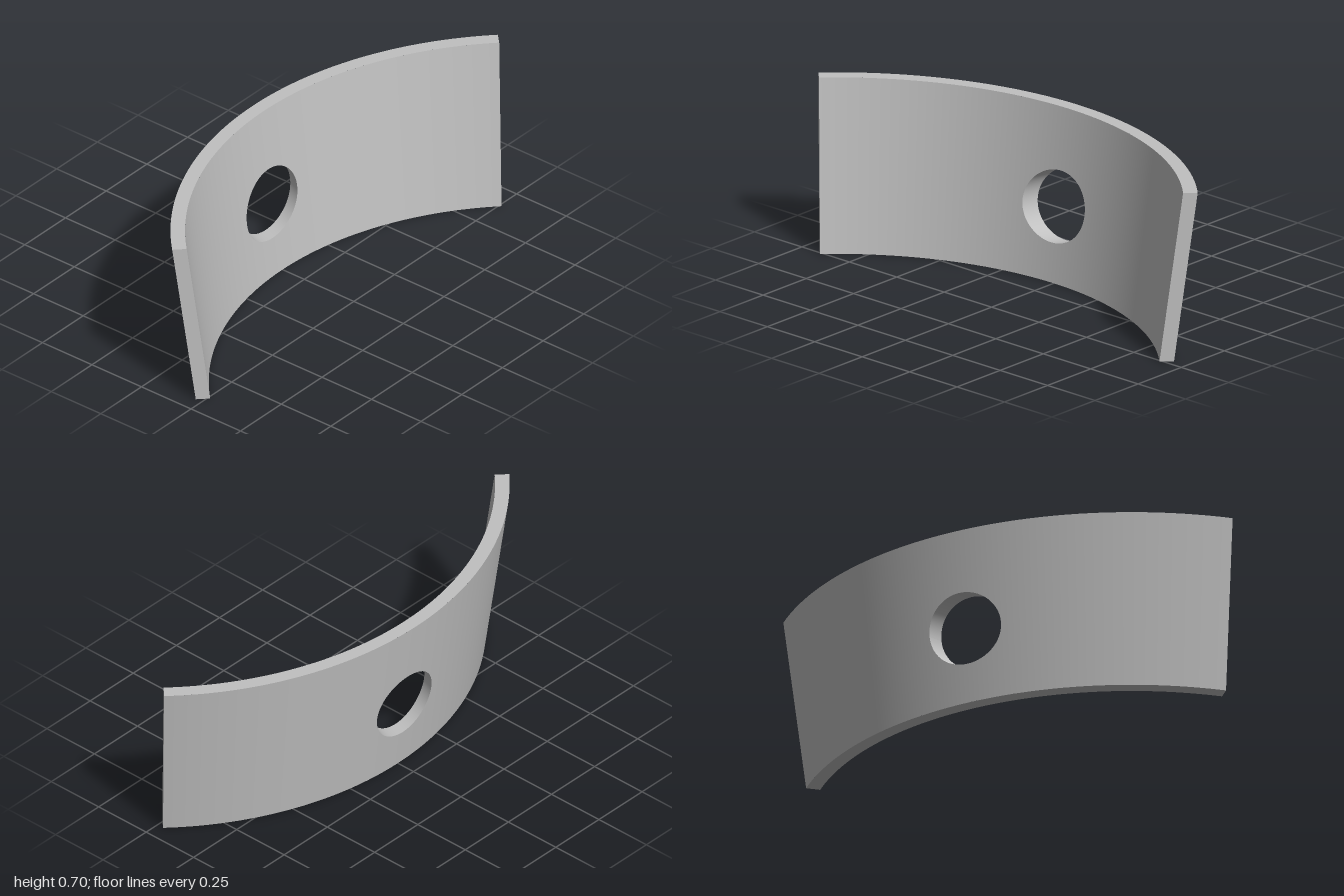
import * as THREE from 'three';
import { mergeGeometries } from 'three/addons/utils/BufferGeometryUtils.js';

const H = 0.7, CZ = 1.155, HALF = Math.PI / 4;     // height, cone axis z, half sweep
const SLOPE = 0.132, THICK = 0.057, PATCH = 0.25;  // flare, wall thickness, half sweep of holed patch
const HOLE_R = 0.146, HOLE_Y = 0.303, TILT = THREE.MathUtils.degToRad(22.5);

const outer = y => 1.322 + SLOPE * y;
const inner = y => outer(y) - THICK;
const at = (r, a, y) => new THREE.Vector3(r * Math.sin(a), y, CZ - r * Math.cos(a));

// Grid of quads over u, v in 0..1, facing along du x dv unless flipped
function grid(nu, nv, f, flip = false) {
  const pos = [], idx = [];
  for (let j = 0; j <= nv; j++) for (let i = 0; i <= nu; i++) pos.push(...f(i / nu, j / nv).toArray());
  for (let j = 0; j < nv; j++) for (let i = 0; i < nu; i++) {
    const a = j * (nu + 1) + i, b = a + 1, d = a + nu + 1, c = d + 1;
    if (flip) idx.push(a, c, b, a, d, c);
    else idx.push(a, b, c, a, c, d);
  }
  const g = new THREE.BufferGeometry();
  g.setAttribute('position', new THREE.Float32BufferAttribute(pos, 3));
  g.setIndex(idx);
  g.computeVertexNormals();
  return g;
}

// Point where the slanted bore meets the inner or outer cone
function rim(radius, phi) {
  const c = Math.cos(phi) * HOLE_R, y = HOLE_Y + Math.sin(phi) * HOLE_R;
  const dx = Math.sin(TILT), dz = -Math.cos(TILT);
  const qx = c * Math.cos(TILT), qz = CZ - outer(HOLE_Y);
  const px = qx, pz = qz + c * Math.sin(TILT) - CZ;
  const b = px * dx + pz * dz, r = radius(y);
  const t = -b + Math.sqrt(b * b - px * px - pz * pz + r * r);
  return new THREE.Vector3(px + t * dx, y, CZ + pz + t * dz);
}

// Curved wall face: holed centre patch plus a plain panel on each side
function wallFace(radius, isOuter) {
  const lerp = THREE.MathUtils.lerp;
  const patch = grid(96, 6, (u, v) => {
    const phi = u * Math.PI * 2, c = Math.cos(phi), s = Math.sin(phi);
    const k = 1 / Math.max(Math.abs(c), Math.abs(s));
    const p = rim(radius, phi);
    const a = lerp(Math.atan2(p.x, CZ - p.z), PATCH * c * k, v);
    const y = lerp(p.y, H / 2 * (1 + s * k), v);
    return at(radius(y), a, y);
  }, !isOuter);
  const panels = [[-HALF, -PATCH], [PATCH, HALF]].map(([a0, a1]) =>
    grid(20, 4, (u, v) => at(radius(v * H), lerp(a0, a1, u), v * H), isOuter));
  const g = mergeGeometries([patch, ...panels]);
  // True cone normals keep the joins between panels invisible
  const P = g.attributes.position, N = g.attributes.normal, n = new THREE.Vector3();
  for (let i = 0; i < P.count; i++) {
    const x = P.getX(i), z = P.getZ(i) - CZ;
    n.set(x, -SLOPE * Math.hypot(x, z), z).normalize().multiplyScalar(isOuter ? 1 : -1);
    N.setXYZ(i, n.x, n.y, n.z);
  }
  return g;
}

export function createModel() {
  const group = new THREE.Group();
  group.name = 'curvedPanel';
  const grey = new THREE.MeshStandardMaterial({ color: 0xc0c0c0 });
  grey.name = 'grey';
  const add = (name, geometry) => {
    const mesh = new THREE.Mesh(geometry, grey);
    mesh.name = name;
    group.add(mesh);
  };
  const across = (y, v) => inner(y) + v * THICK;

  add('outerFace', wallFace(outer, true));
  add('innerFace', wallFace(inner, false));

  // Top and bottom edges
  for (const [name, y] of [['topEdge', H], ['bottomEdge', 0]])
    add(name, grid(72, 1, (u, v) => at(across(y, v), (u * 2 - 1) * HALF, y), y === 0));

  // Flat ends
  for (const [name, side] of [['leftEnd', 1], ['rightEnd', -1]])
    add(name, grid(1, 1, (u, v) => at(across(u * H, v), side * HALF, u * H), side > 0));

  // Wall of the slanted round hole
  add('holeWall', grid(96, 1, (u, v) => rim(v ? inner : outer, u * Math.PI * 2), true));
  return group;
}
